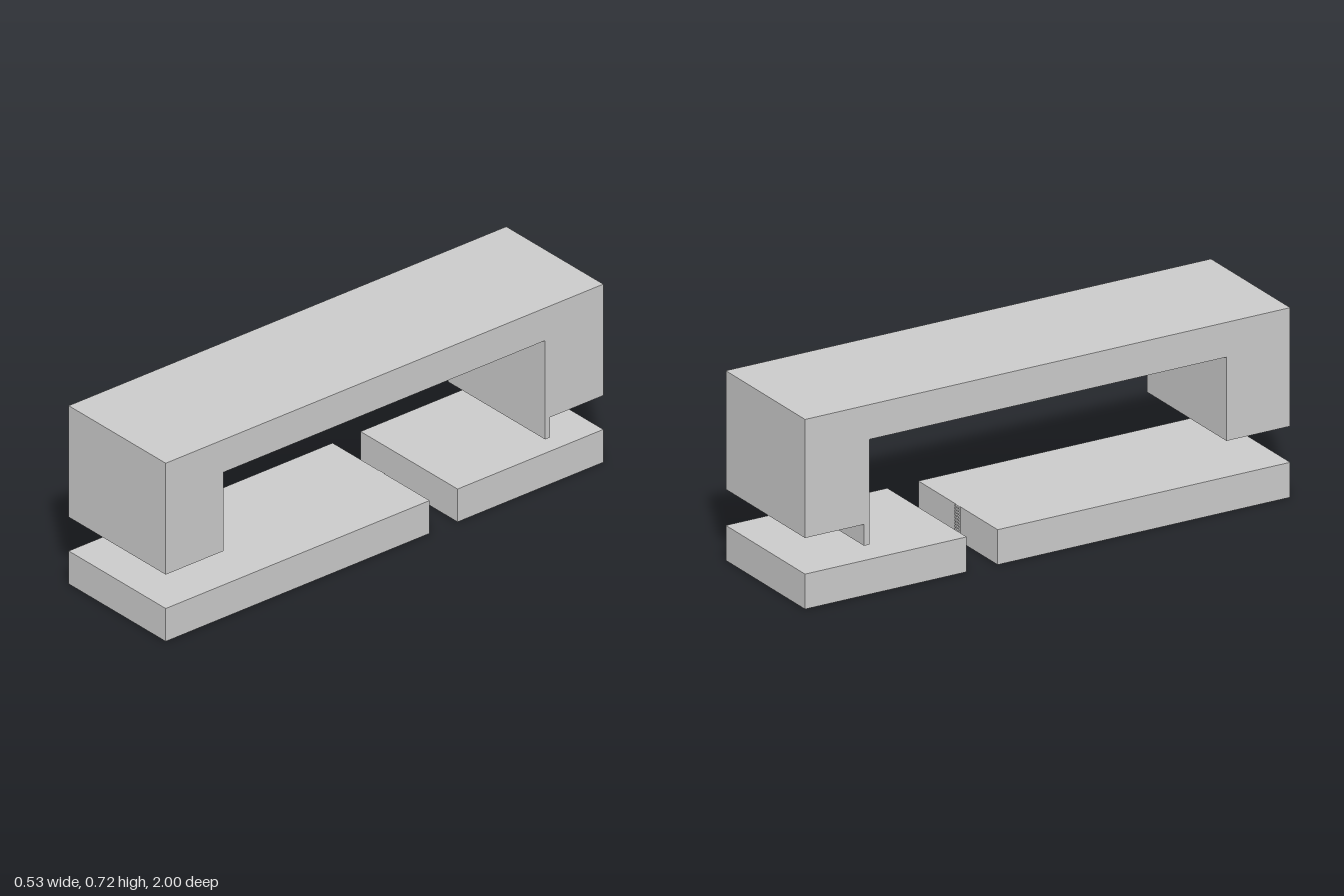
import * as THREE from 'three';

const WIDTH = 0.534;
const material = new THREE.MeshStandardMaterial({ color: 0xcccccc, flatShading: true });

// Extrudes a side outline given as [z, y] points across a width centred on x = 0
function sideProfile(name, points, width) {
  const shape = new THREE.Shape(points.map(([z, y]) => new THREE.Vector2(-z, y)));
  const geometry = new THREE.ExtrudeGeometry(shape, { depth: width, bevelEnabled: false });
  geometry.translate(0, 0, -width / 2);
  geometry.rotateY(Math.PI / 2);
  const mesh = new THREE.Mesh(geometry, material);
  mesh.name = name;
  return mesh;
}

// Flat slab between two z positions, resting on the ground
function slab(name, zBack, zFront, height) {
  const mesh = new THREE.Mesh(new THREE.BoxGeometry(WIDTH, height, zFront - zBack), material);
  mesh.position.set(0, height / 2, (zBack + zFront) / 2);
  mesh.name = name;
  return mesh;
}

export function createModel() {
  const model = new THREE.Group();
  model.name = 'bridgeAndBase';
  const baseHeight = 0.133;
  const baseEnd = -0.206;

  // Upper bridge with two hanging legs and a thin lip on the rear leg
  model.add(sideProfile('upperBridge', [
    [1, 0.27], [1, 0.72], [-1, 0.72], [-1, 0.27],
    [-0.757, 0.27], [-0.757, 0.189], [-0.734, 0.189],
    [-0.734, 0.588], [0.737, 0.588], [0.737, 0.27],
  ], WIDTH));

  // Lower base, split by a gap
  model.add(slab('frontBase', baseEnd, 1, baseHeight));
  model.add(slab('rearBase', -1, -0.334, baseHeight));

  // Small ribbed strip in the middle of the front base's rear end
  const teeth = 12;
  const pitch = baseHeight / teeth;
  const outline = [[baseEnd + 0.01, 0]];
  for (let i = 0; i < teeth; i++) {
    const y = i * pitch;
    outline.push([baseEnd - 0.002, y], [baseEnd - 0.005, y + pitch * 0.25],
      [baseEnd - 0.005, y + pitch * 0.75]);
  }
  outline.push([baseEnd - 0.002, baseHeight], [baseEnd + 0.01, baseHeight]);
  model.add(sideProfile('ribbedStrip', outline, 0.03));

  return model;
}
